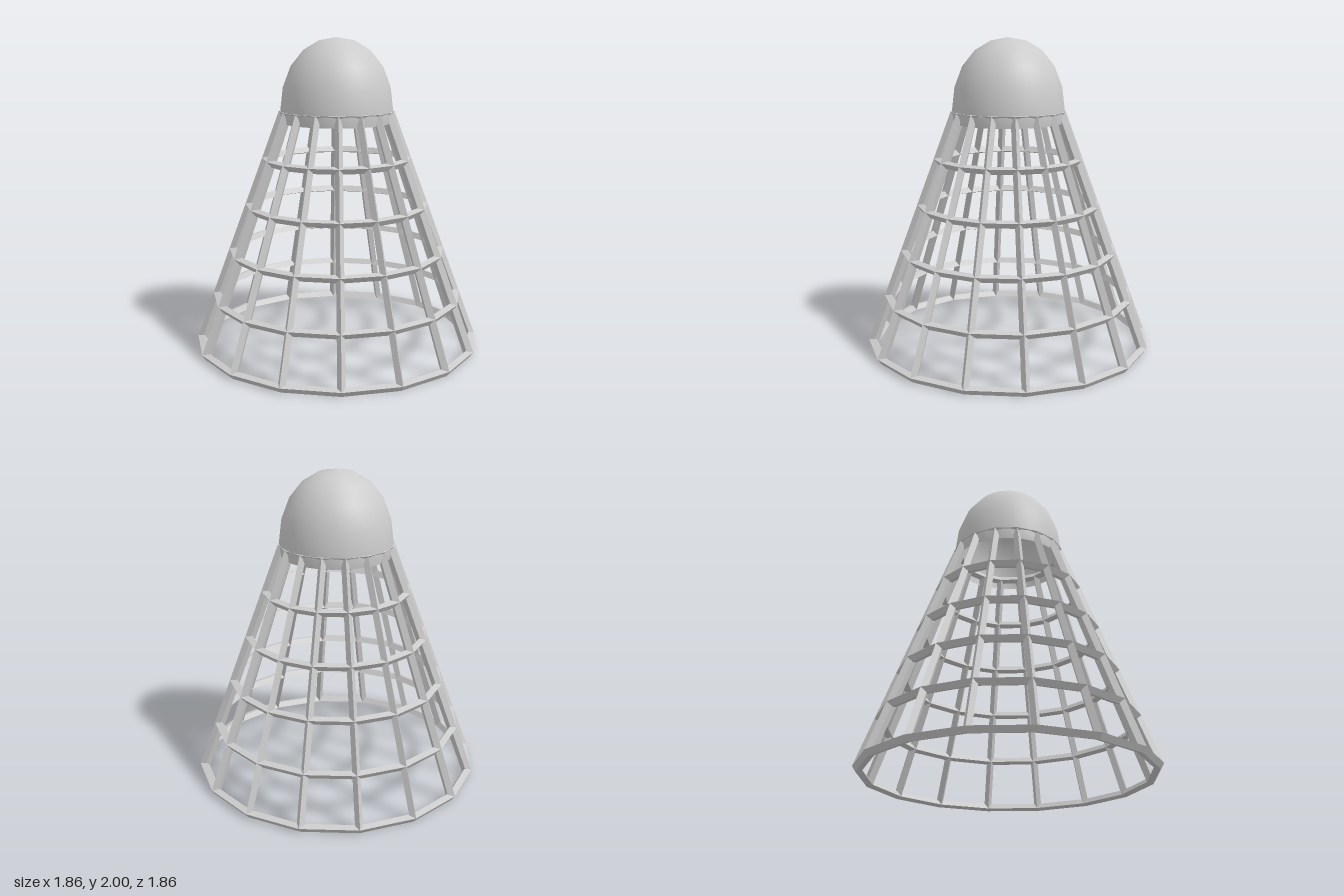
import * as THREE from 'three';

const SIDES = 16;
const RINGS = 6;
const BASE = { r: 0.897, y: 0.024 };  // centre line of the skirt at the bottom
const TOP = { r: 0.338, y: 1.526 };   // and at the top
const DEPTH = 0.033;                  // half thickness along the skirt's normal
const WIDTH = 0.024;                  // half width within the skirt's surface

export function createModel() {
  const model = new THREE.Group();
  const smooth = new THREE.MeshStandardMaterial({ color: 0xcccccc, side: THREE.DoubleSide });
  const flat = new THREE.MeshStandardMaterial({ color: 0xcccccc, flatShading: true });

  const add = (name, geometry, material, parent = model) => {
    const mesh = new THREE.Mesh(geometry, material);
    mesh.name = name;
    parent.add(mesh);
    return mesh;
  };

  // Rounded nose: a thin shell, open underneath
  const nose = [
    [0.352, 1.465], [0.36, 1.54], [0.342, 1.69], [0.292, 1.82],
    [0.212, 1.92], [0.112, 1.98], [0, 2],
  ].map(([x, y]) => new THREE.Vector2(x, y));
  add('nose', new THREE.LatheGeometry(nose, 40), smooth);

  // Directions up the slope and out of the skirt
  const start = new THREE.Vector2(BASE.r, BASE.y);
  const end = new THREE.Vector2(TOP.r, TOP.y);
  const slope = end.clone().sub(start);
  const length = slope.length();
  slope.normalize();
  const normal = new THREE.Vector2(slope.y, -slope.x);

  const skirt = new THREE.Group();
  skirt.name = 'skirt';
  model.add(skirt);

  // Polygonal hoops with a diamond cross-section
  for (let i = 0; i < RINGS; i++) {
    const c = start.clone().lerp(end, i / (RINGS - 1));
    const at = (dir, d) => c.clone().addScaledVector(dir, d);
    const profile = [
      at(slope, -WIDTH), at(normal, DEPTH), at(slope, WIDTH), at(normal, -DEPTH), at(slope, -WIDTH),
    ];
    add('hoop', new THREE.LatheGeometry(profile, SIDES), flat, skirt);
  }

  // Straight diamond ribs running up through the hoop corners
  const rib = new THREE.CylinderGeometry(1, 1, length, 4);
  rib.scale(WIDTH, 1, DEPTH);
  rib.rotateX(-Math.atan2(BASE.r - TOP.r, TOP.y - BASE.y));
  rib.translate(0, (BASE.y + TOP.y) / 2, (BASE.r + TOP.r) / 2);
  for (let i = 0; i < SIDES; i++) {
    add('rib', rib, flat, skirt).rotation.y = (i / SIDES) * Math.PI * 2;
  }

  return model;
}
